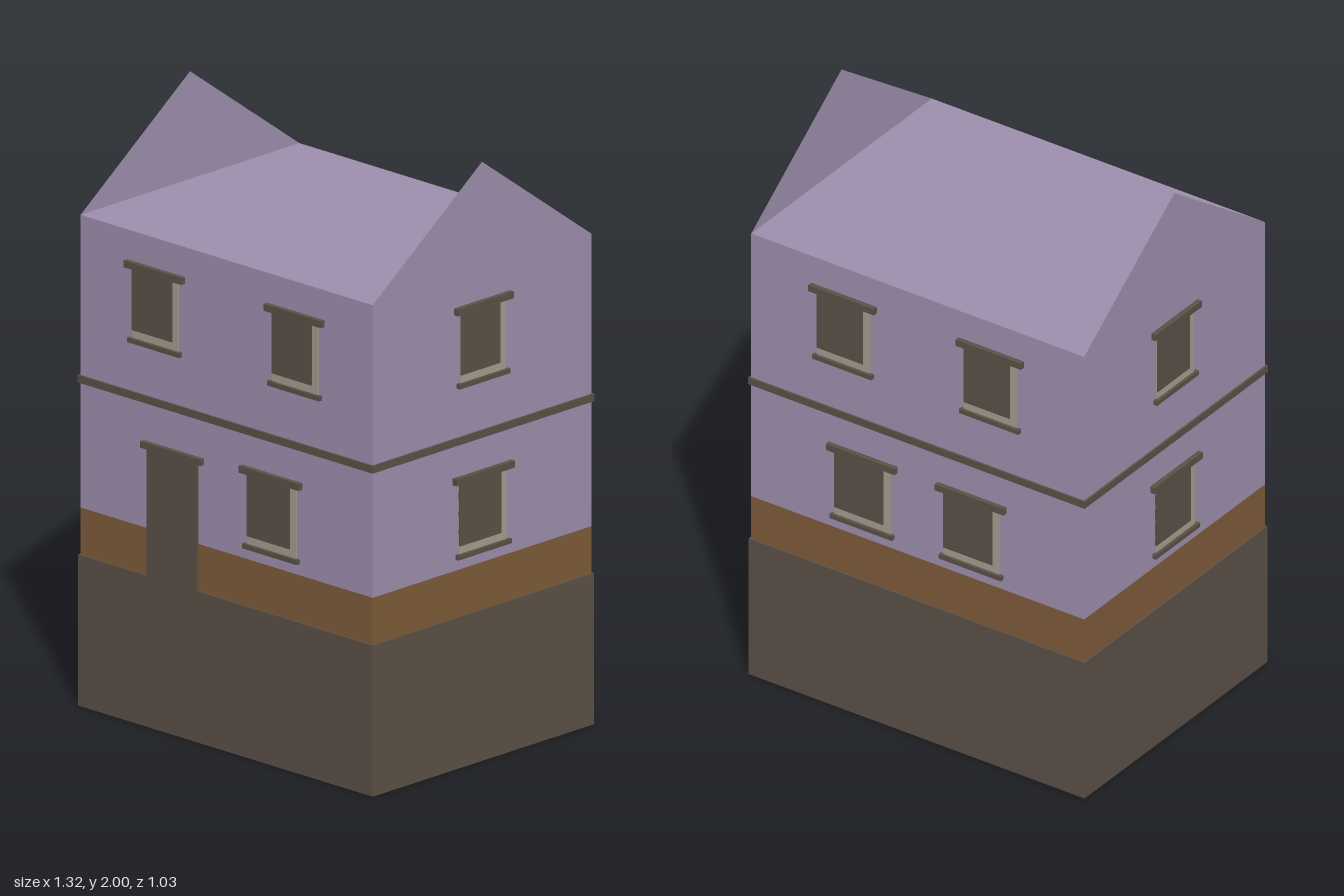
import * as THREE from 'three';

const WALL_X = 0.645, WALL_Z = 0.497;

export function createModel() {
  const material = (name, color, side = THREE.FrontSide) => {
    const m = new THREE.MeshStandardMaterial({ color, side });
    m.name = name;
    return m;
  };
  const lilac = material('lilac wall', 0x9f90af, THREE.DoubleSide);
  const stone = material('dark stone', 0x5c5147);
  const brown = material('brown plinth', 0x7f5c3a);
  const pale = material('pale reveal', 0xa59e90);

  const house = new THREE.Group();
  house.name = 'house';

  // Box given by its left, right, bottom, top, back and front limits
  const box = (parent, name, mat, x0, x1, y0, y1, z0, z1) => {
    const mesh = new THREE.Mesh(new THREE.BoxGeometry(x1 - x0, y1 - y0, z1 - z0), mat);
    mesh.position.set((x0 + x1) / 2, (y0 + y1) / 2, (z0 + z1) / 2);
    mesh.name = name;
    parent.add(mesh);
  };
  // Storey as wide as the walls plus an overhang
  const storey = (name, mat, y0, y1, out = 0) =>
    box(house, name, mat, -WALL_X - out, WALL_X + out, y0, y1, -WALL_Z - out, WALL_Z + out);

  storey('basement', stone, 0, 0.505, 0.006);
  storey('plinth', brown, 0.505, 0.662);
  storey('walls', lilac, 0.662, 1.64);
  storey('stringCourse', stone, 1.08, 1.105, 0.007);

  // Free-standing gable ends above the flat attic floor
  const triangle = new THREE.Shape([
    new THREE.Vector2(-WALL_Z, 1.64), new THREE.Vector2(WALL_Z, 1.64), new THREE.Vector2(0, 2),
  ]);
  for (const side of [-1, 1]) {
    const gable = new THREE.Mesh(new THREE.ShapeGeometry(triangle), lilac);
    gable.rotation.y = side * Math.PI / 2;
    gable.position.x = side * WALL_X;
    gable.name = side > 0 ? 'leftGable' : 'rightGable';
    house.add(gable);
  }

  // One group per facade; local +z points outwards from the wall
  const facade = (name, turn, distance) => {
    const g = new THREE.Group();
    g.name = name;
    g.rotation.y = turn;
    g.position.set(Math.sin(turn) * distance, 0, Math.cos(turn) * distance);
    house.add(g);
    return g;
  };

  // Window: pale reveal showing right and below a dark pane, lintel and sill
  const addWindow = (wall, x, top, bottom, half) => {
    const g = new THREE.Group();
    g.name = 'window';
    g.position.x = x;
    wall.add(g);
    box(g, 'reveal', pale, -half, half, bottom, top, -0.004, 0.004);
    box(g, 'pane', stone, -half, half - 0.026, bottom + 0.028, top, -0.002, 0.007);
    box(g, 'lintel', stone, -half - 0.025, half + 0.025, top - 0.02, top + 0.003, -0.004, 0.017);
    box(g, 'sill', stone, -half - 0.013, half + 0.013, bottom - 0.014, bottom + 0.002, -0.004, 0.014);
  };
  const upper = (wall, x) => addWindow(wall, x, 1.537, 1.283, 0.102);
  const lower = (wall, x) => addWindow(wall, x, 0.97, 0.713, 0.108);

  // Front with the door
  const front = facade('frontFacade', 0, WALL_Z);
  upper(front, -0.312);
  upper(front, 0.306);
  lower(front, 0.202);
  box(front, 'door', stone, -0.345, -0.125, 0.505, 0.94, -0.004, 0.009);
  box(front, 'doorLintel', stone, -0.367, -0.1, 0.931, 0.953, -0.004, 0.017);

  // Back with four windows
  const back = facade('backFacade', Math.PI, WALL_Z);
  for (const side of [-1, 1]) {
    upper(back, side * 0.285);
    lower(back, side * 0.211);
  }

  // One window per floor on each gable side
  for (const side of [-1, 1]) {
    const wall = facade(side > 0 ? 'leftFacade' : 'rightFacade', side * Math.PI / 2, WALL_X);
    upper(wall, 0);
    lower(wall, 0);
  }
  return house;
}
